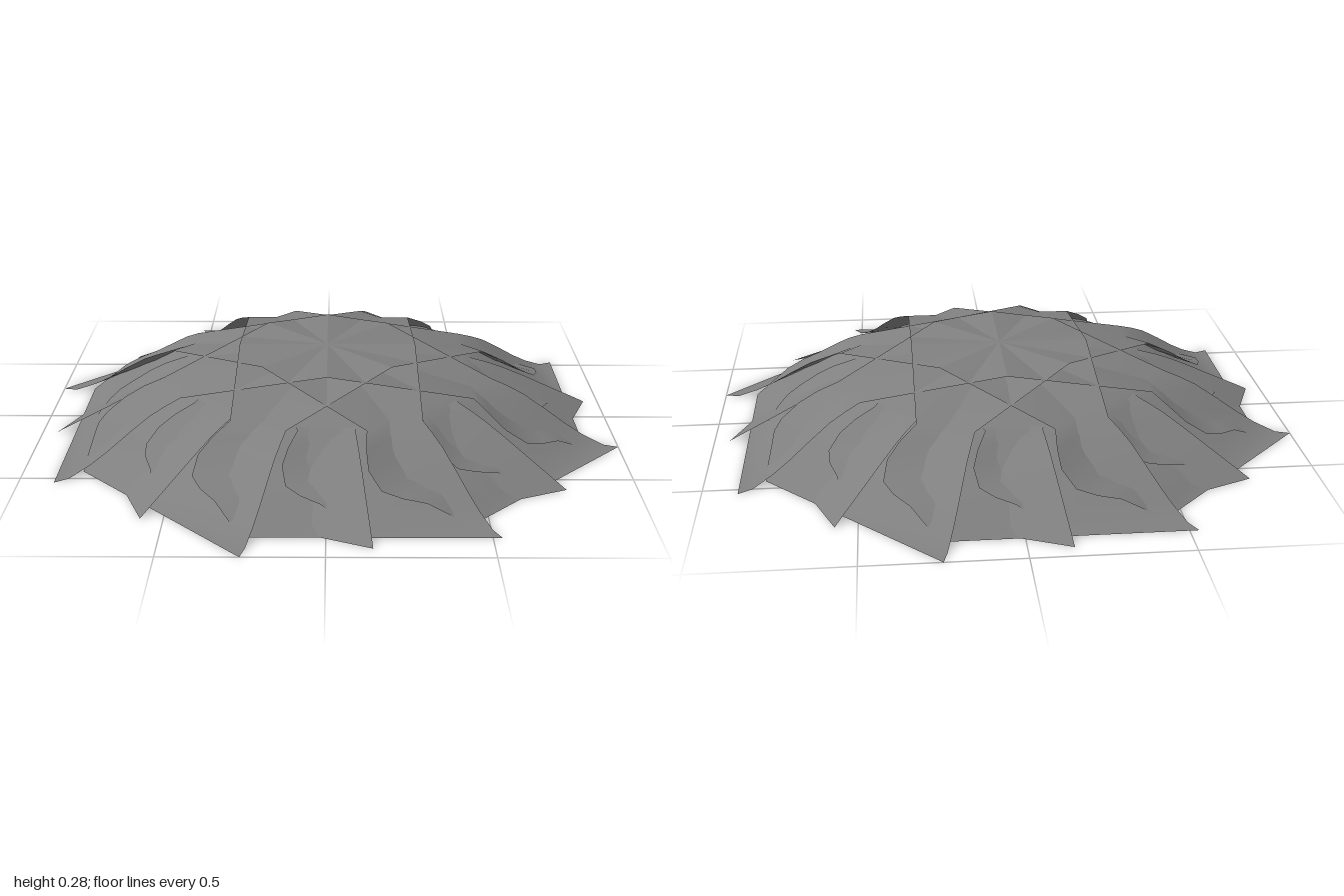
import * as THREE from 'three';
import { toCreasedNormals } from 'three/addons/utils/BufferGeometryUtils.js';

const material = new THREE.MeshStandardMaterial({ color: 0x808080, side: THREE.DoubleSide });

// Edges of a leaf running out to +z, as [reach, height, distance]:
// the rounded lobe on the -x side, the flared tip on the +x side
const lobe = [
  [0.31, 0.28, 0], [0.31, 0.204, 0.49], [0.364, 0.17, 0.54], [0.406, 0.132, 0.59],
  [0.42, 0.092, 0.66], [0.39, 0.078, 0.72], [0.34, 0.064, 0.775], [0.29, 0.025, 0.84], [0.25, 0, 0.885],
];
// Large leaves sweep out flat at the rim, small ones keep a straight slope
const largeTipHeights = [0.28, 0.204, 0.184, 0.16, 0.112, 0.068, 0.033, 0.002, 0];
const smallTipHeights = [0.28, 0.204, 0.186, 0.164, 0.127, 0.093, 0.062, 0.026, 0];

function leafGeometry(tipHeights) {
  const points = [], index = [];
  const columns = 4;
  lobe.forEach(([reach, y, d], i) => {
    const tipReach = 0.31 + 0.557 * Math.max(0, d - 0.49);
    for (let j = 0; j <= columns; j++) {
      const t = j / columns;
      points.push(THREE.MathUtils.lerp(-reach, tipReach, t), THREE.MathUtils.lerp(y, tipHeights[i], t), d);
      if (i && j) {
        const b = i * (columns + 1) + j, a = b - columns - 1;
        index.push(a - 1, b - 1, a, a, b - 1, b);
      }
    }
  });
  const geometry = new THREE.BufferGeometry();
  geometry.setAttribute('position', new THREE.Float32BufferAttribute(points, 3));
  geometry.setIndex(index);
  return toCreasedNormals(geometry, 0.6);
}

// Ring of eight leaves crossing at the crown
function leafRing(name, geometry, offset, scale) {
  const ring = new THREE.Group();
  ring.name = name;
  for (let i = 0; i < 8; i++) {
    const leaf = new THREE.Mesh(geometry, material);
    leaf.name = name + 'Leaf';
    leaf.rotation.y = offset + (i * Math.PI) / 4;
    ring.add(leaf);
  }
  ring.scale.setScalar(scale);
  return ring;
}

export function createModel() {
  const model = new THREE.Group();
  model.name = 'leafCanopy';
  model.add(leafRing('outer', leafGeometry(largeTipHeights), 0, 1));
  // Slightly smaller leaves turned into the gaps
  model.add(leafRing('inner', leafGeometry(smallTipHeights), Math.PI / 8, 0.93));
  return model;
}
